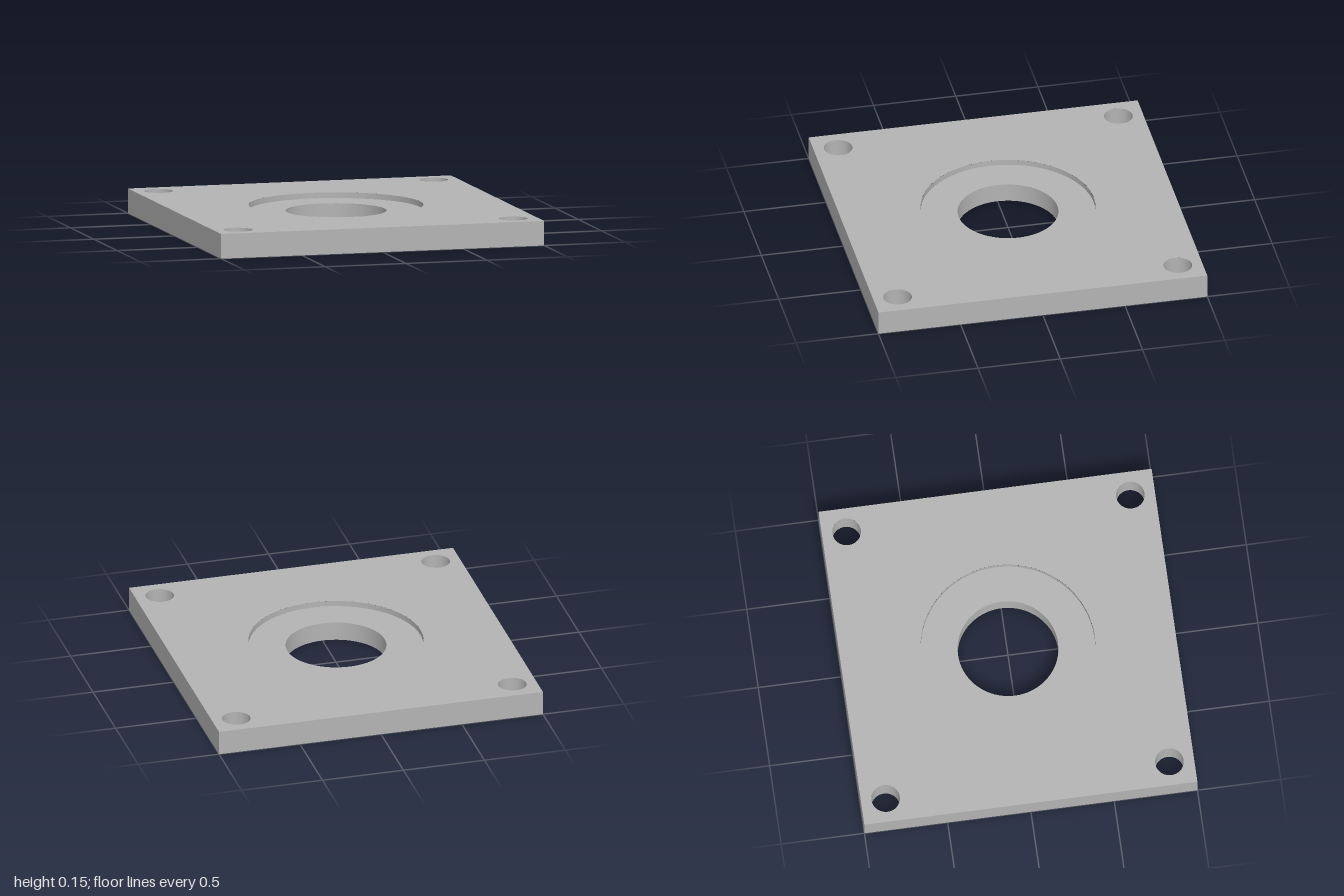
import * as THREE from 'three';
import { toCreasedNormals } from 'three/addons/utils/BufferGeometryUtils.js';

const THICKNESS = 0.148, RECESS_FLOOR = 0.114;
const BORE = 0.3, RECESS = 0.52;
const BOLT = 0.085, BOLT_POS = 0.852;
const SEGMENTS = 64;
const CORNERS = [[1, 1], [-1, 1], [-1, -1], [1, -1]];

// Square plate face with a central opening and four bolt holes
function faceGeometry(centreRadius) {
  const shape = new THREE.Shape(CORNERS.map(([x, y]) => new THREE.Vector2(x, y)));
  const addHole = (x, y, r) => shape.holes.push(new THREE.Path().absarc(x, y, r, 0, Math.PI * 2, true));
  addHole(0, 0, centreRadius);
  for (const [x, y] of CORNERS) addHole(x * BOLT_POS, y * BOLT_POS, BOLT);
  return new THREE.ShapeGeometry(shape, SEGMENTS);
}

// Turned wall; a profile running downward faces inward
function turned(profile, segments = SEGMENTS, start = 0) {
  const points = profile.map(([r, y]) => new THREE.Vector2(r, y));
  return toCreasedNormals(new THREE.LatheGeometry(points, segments, start), Math.PI / 6);
}

export function createModel() {
  const group = new THREE.Group();
  group.name = 'mountingPlate';
  const grey = new THREE.MeshStandardMaterial({ color: 0xb3b3b3 });
  grey.name = 'grey metal';

  const add = (name, geometry, x = 0, y = 0, z = 0) => {
    const mesh = new THREE.Mesh(geometry, grey);
    mesh.name = name;
    mesh.position.set(x, y, z);
    group.add(mesh);
  };

  // Plate faces and the four outer edges
  add('topFace', faceGeometry(RECESS).rotateX(-Math.PI / 2), 0, THICKNESS, 0);
  add('bottomFace', faceGeometry(BORE).rotateX(Math.PI / 2));
  add('outerEdges', turned([[Math.SQRT2, 0], [Math.SQRT2, THICKNESS]], 4, Math.PI / 4));

  // Shallow round recess stepping down to the through bore
  add('recessAndBore', turned([[RECESS, THICKNESS], [RECESS, RECESS_FLOOR], [BORE, RECESS_FLOOR], [BORE, 0]]));

  // Bolt hole walls
  const boltWall = turned([[BOLT, THICKNESS], [BOLT, 0]]);
  for (const [x, z] of CORNERS) add('boltHole', boltWall, x * BOLT_POS, 0, z * BOLT_POS);

  return group;
}
